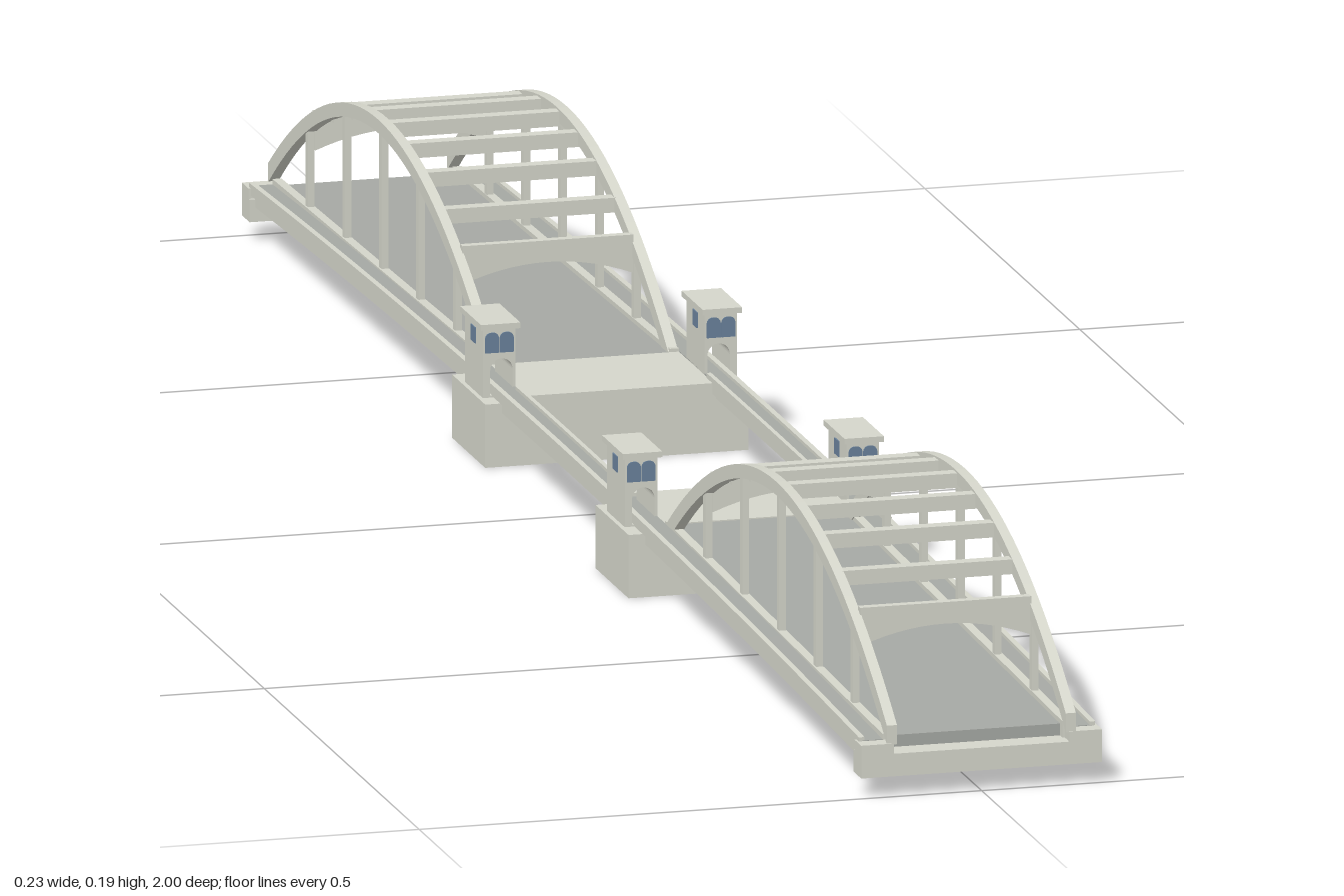
import * as THREE from 'three';

const mat = (name, color) => {
  const m = new THREE.MeshStandardMaterial({ color });
  m.name = name;
  return m;
};

export function createModel() {
  const concrete = mat('pale concrete', 0xd5d6cb);
  const asphalt = mat('grey asphalt', 0xa6a9a4);
  const glass = mat('blue glass', 0x6a829c);

  const model = new THREE.Group();
  model.name = 'archBridge';

  const add = (parent, name, geometry, material) => {
    const mesh = new THREE.Mesh(geometry, material);
    mesh.name = name;
    parent.add(mesh);
    return mesh;
  };
  // Box given by its limits
  const box = (parent, name, material, x0, x1, y0, y1, z0, z1) => {
    const g = new THREE.BoxGeometry(x1 - x0, y1 - y0, z1 - z0);
    g.translate((x0 + x1) / 2, (y0 + y1) / 2, (z0 + z1) / 2);
    return add(parent, name, g, material);
  };
  // Band between two height curves along z, extruded across x
  const band = (parent, name, material, x0, x1, z0, z1, top, bottom, n) => {
    const pts = [];
    for (let i = 0; i <= n; i++) {
      const z = z0 + (z1 - z0) * i / n;
      pts.push(new THREE.Vector2(z, bottom(z)));
    }
    for (let i = n; i >= 0; i--) {
      const z = z0 + (z1 - z0) * i / n;
      pts.push(new THREE.Vector2(z, top(z)));
    }
    const g = new THREE.ExtrudeGeometry(new THREE.Shape(pts), { depth: x1 - x0, bevelEnabled: false });
    g.rotateY(-Math.PI / 2);
    g.translate(x1, 0, 0);
    return add(parent, name, g, material);
  };

  // Height curves
  const road = z => 0.0675 - 0.0195 * z;
  const walk = z => 0.068 - 0.018 * z * z;
  const MID = 0.642, HALF = 0.357;
  const archTop = z => 0.19 - 0.127 * ((z - MID) / HALF) ** 2;
  const archBottom = z => 0.178 - 0.132 * ((z - MID) / HALF) ** 2;

  // Gatehouse with an arched passage along z
  function gatehouse(s) {
    const g = new THREE.Group();
    g.name = 'gatehouse';
    const cx = 0.0985;
    const wall = new THREE.Shape();
    wall.moveTo(-0.0145, 0.055);
    wall.lineTo(0.0145, 0.055);
    wall.lineTo(0.0145, 0.117);
    wall.lineTo(-0.0145, 0.117);
    wall.closePath();
    const door = new THREE.Path();
    door.moveTo(-0.012, 0.058);
    door.lineTo(-0.012, 0.08);
    door.absarc(-0.002, 0.08, 0.01, Math.PI, 0, true);
    door.lineTo(0.008, 0.058);
    door.closePath();
    wall.holes.push(door);
    const body = new THREE.ExtrudeGeometry(wall, { depth: 0.058, bevelEnabled: false, curveSegments: 10 });
    // The passage sits nearer the road on both sides
    if (s < 0) body.rotateY(Math.PI).translate(0, 0, 0.058);
    body.translate(s * cx, 0, 0.2);
    add(g, 'gatehouseWalls', body, concrete);
    box(g, 'gatehouseRoof', concrete, s * cx - 0.0175, s * cx + 0.0175, 0.117, 0.122, 0.195, 0.263);

    // Paired arched windows on both ends
    const pane = new THREE.Shape();
    pane.moveTo(-0.0062, 0);
    pane.lineTo(0.0062, 0);
    pane.lineTo(0.0062, 0.013);
    pane.quadraticCurveTo(0.0055, 0.018, 0, 0.018);
    pane.quadraticCurveTo(-0.0055, 0.018, -0.0062, 0.013);
    pane.closePath();
    for (const z of [0.199, 0.2575]) for (const dx of [-0.0065, 0.0065]) {
      const w = new THREE.ExtrudeGeometry(pane, { depth: 0.0015, bevelEnabled: false, curveSegments: 4 });
      w.translate(s * cx + dx, 0.0955, z);
      add(g, 'endWindow', w, glass);
    }
    // Small square windows on both long walls
    for (const d of [-1, 1]) {
      const x = s * cx + d * 0.0145;
      box(g, 'sideWindow', glass, x - 0.001, x + 0.001, 0.099, 0.113, 0.222, 0.236);
    }
    return g;
  }

  // One arch span with its pier, built towards +z
  function halfBridge() {
    const half = new THREE.Group();
    half.name = 'archSpan';

    // Pier and platform
    box(half, 'pier', concrete, -0.117, 0.117, 0, 0.056, 0.178, 0.285);
    box(half, 'pierPlatform', concrete, -0.084, 0.084, 0.05, 0.063, 0.171, 0.283);

    // Road deck
    band(half, 'roadDeck', asphalt, -0.077, 0.077, 0.28, 0.977, road, z => road(z) - 0.012, 1);
    band(half, 'deckUnderside', asphalt, -0.09, 0.09, 0.28, 0.977, z => road(z) - 0.011, z => road(z) - 0.016, 1);

    // End abutment
    box(half, 'abutment', concrete, -0.107, 0.107, 0.018, 0.038, 0.975, 1);

    for (const s of [-1, 1]) {
      const sx = (a, b) => (s > 0 ? [a, b] : [-b, -a]);
      box(half, 'abutmentCheek', concrete, ...sx(0.078, 0.107), 0.03, 0.047, 0.978, 1);

      // Main arch rib and its tie beam
      band(half, 'archRib', concrete, ...sx(0.075, 0.084), MID - HALF, MID + HALF, archTop, archBottom, 36);
      band(half, 'tieBeam', concrete, ...sx(0.076, 0.084), 0.283, 0.985, z => road(z) + 0.004, z => road(z) - 0.013, 1);

      // Hangers
      for (let i = -2; i <= 2; i++) {
        const z = MID + i * 0.119;
        box(half, 'hanger', concrete, ...sx(0.0765, 0.0825), road(z) - 0.002, archBottom(z) + 0.003, z - 0.004, z + 0.004);
      }
      half.add(gatehouse(s));
    }

    // Cross braces between the ribs
    for (let i = -3; i <= 3; i++) {
      const z = MID + i * 0.0595;
      const y = archTop(z) - 0.002;
      box(half, 'crossBrace', concrete, -0.076, 0.076, y - 0.013, y, z - 0.006, z + 0.006);
    }

    // Portal braces with a curved lower edge
    const portal = new THREE.Shape();
    portal.moveTo(-0.076, 0.138);
    portal.lineTo(-0.076, 0.104);
    portal.quadraticCurveTo(0, 0.134, 0.076, 0.104);
    portal.lineTo(0.076, 0.138);
    portal.closePath();
    for (const z of [MID - 0.238, MID + 0.238]) {
      const g = new THREE.ExtrudeGeometry(portal, { depth: 0.008, bevelEnabled: false, curveSegments: 14 });
      g.translate(0, 0, z - 0.004);
      add(half, 'portalBrace', g, concrete);
    }
    return half;
  }

  const front = halfBridge();
  const back = halfBridge();
  back.rotation.y = Math.PI;
  model.add(front, back);

  // Footways running the whole length, also across the open middle
  for (const s of [-1, 1]) {
    const sx = (a, b) => (s > 0 ? [a, b] : [-b, -a]);
    band(model, 'footway', asphalt, ...sx(0.084, 0.102), -0.985, 0.985, z => walk(z) - 0.003, z => walk(z) - 0.012, 24);
    band(model, 'footwayOuterEdge', concrete, ...sx(0.1, 0.105), -0.985, 0.985, walk, z => walk(z) - 0.01, 24);
    band(model, 'footwayLowerGirder', concrete, ...sx(0.088, 0.102), -0.985, 0.985, z => walk(z) - 0.011, z => walk(z) - 0.02, 24);
    band(model, 'middleInnerEdge', concrete, ...sx(0.083, 0.087), -0.19, 0.19, walk, z => walk(z) - 0.014, 8);
  }
  return model;
}
